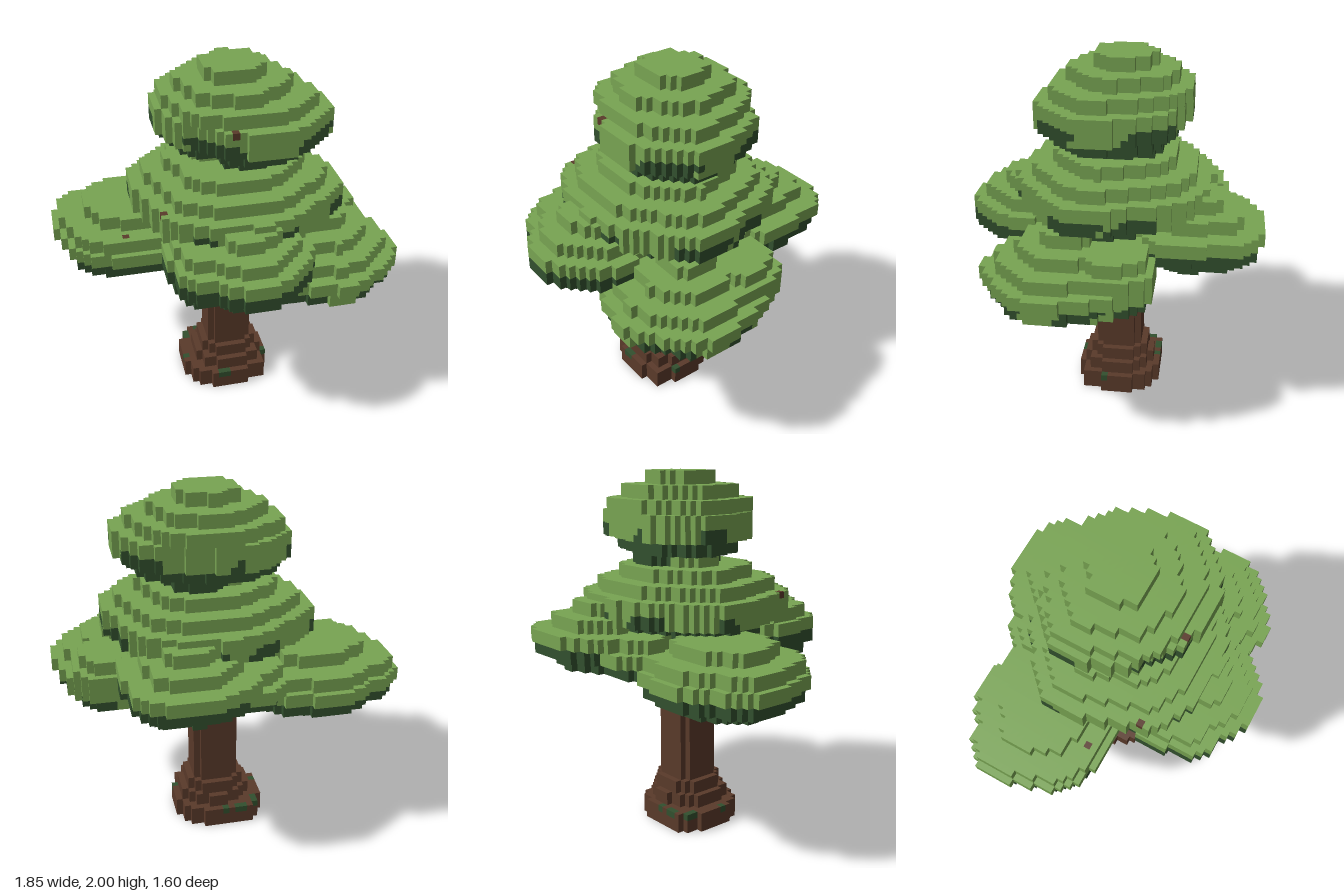
import * as THREE from 'three';

const V = 2 / 55;                 // voxel edge
const NX = 51, NY = 55, NZ = 44;  // voxel counts

const mat = (name, color) => {
  const m = new THREE.MeshStandardMaterial({ color });
  m.name = name;
  return m;
};

// Leaf pads: centre, radii, top row, squareness n (2 is an ellipse), radius share of each two-row
// layer (top down), dark layers at the bottom (a half means one more, patchy layer)
const ROUND = [0.8, 1, 1, 0.8];
const CROWN_PADS = [
  { name: 'crown', x: 0.07, z: -0.04, rx: 0.38, rz: 0.37, top: 55, prof: [0.44, 0.77, 1], dark: 0 },
  { name: 'crownFrontPad', x: 0.18, z: 0.025, rx: 0.385, rz: 0.38, top: 51, prof: ROUND, dark: 1.5 },
  { name: 'crownBackPad', x: -0.02, z: -0.07, rx: 0.33, rz: 0.335, top: 51, prof: ROUND, dark: 1.5 },
  { name: 'crownBase', x: 0.13, z: -0.015, rx: 0.185, rz: 0.24, top: 43, prof: [1], dark: 1 },
];
const CANOPY_PADS = [
  { name: 'canopyKnob', x: -0.06, z: -0.04, rx: 0.105, rz: 0.13, top: 43, prof: [1], dark: 0 },
  { name: 'middleCanopy', x: 0.07, z: 0, rx: 0.56, rz: 0.53, top: 41, prof: [0.64, 0.85, 1, 1, 0.82, 0.7, 0.58], dark: 3.5 },
  { name: 'rightPad', x: -0.48, z: -0.21, rx: 0.445, rz: 0.4, top: 32, prof: [0.6, 0.92, 1, 0.92, 0.55], dark: 2 },
  { name: 'rightPadBack', x: -0.71, z: -0.32, rx: 0.2, rz: 0.2, top: 30, n: 2.4, prof: [0.85, 1, 0.85], dark: 1 },
  { name: 'leftPad', x: 0.52, z: 0.2, rx: 0.4, rz: 0.44, top: 33, prof: [0.32, 0.58, 0.83, 1, 0.93, 0.62], dark: 1.5 },
  { name: 'leftPadBack', x: 0.6, z: -0.04, rx: 0.23, rz: 0.23, top: 31, prof: ROUND, dark: 1 },
  { name: 'frontPad', x: 0.04, z: 0.42, rx: 0.33, rz: 0.385, top: 36, n: 1.8, prof: [0.53, 0.82, 1, 1, 0.75], dark: 2 },
  { name: 'frontCornerPad', x: -0.2, z: 0.41, rx: 0.18, rz: 0.28, top: 34, prof: ROUND, dark: 2 },
  { name: 'backPad', x: 0.25, z: -0.45, rx: 0.345, rz: 0.345, top: 36, n: 2.6, prof: [0.4, 0.7, 1, 0.95, 0.65], dark: 2 },
  { name: 'backCornerPad', x: -0.08, z: -0.42, rx: 0.2, rz: 0.23, top: 32, prof: [0.75, 1, 0.75], dark: 1 },
];

// Wood: rounded column slices [y0, y1, xMin, xMax, zMin, zMax, squareness]
const WOOD = [
  ['roots', 0, 3, -0.24, 0.27, -0.26, 0.22, 2.2],
  ['roots', 0, 3, 0, 0.25, 0, 0.2, 4],
  ['roots', 0, 3, -0.21, 0, -0.24, 0, 4],
  ['roots', 3, 5, -0.17, 0.24, -0.21, 0.19, 2],
  ['roots', 5, 7, -0.13, 0.205, -0.185, 0.15, 2.2],
  ['moss', 0, 1, -0.11, 0.02, -0.11, 0.0, 2],
  ['trunk', 7, 29, -0.095, 0.167, -0.148, 0.112, 2.6],
  ['branch', 22, 24, -0.275, -0.05, -0.13, -0.02, 9],
  ['branch', 24, 26, -0.14, -0.05, -0.13, 0.04, 9],
  ['branch', 27, 28, 0.05, 0.38, -0.3, -0.2, 9],
];

// Bare twig ends poking out of the leaves
const TWIGS = [
  [-0.01, 1.77, 0.35], [0.18, 1.58, 0.24], [0.18, 1.545, 0.22], [-0.36, 1.33, 0.31],
  [-0.47, 1.08, 0.09], [-0.29, 1.0, 0.3], [0.43, 0.82, 0.53],
];

// Moss patches on the roots: x and z
const MOSS = [[-0.07, 0.25], [-0.03, 0.25], [0, 0.25], [-0.25, 0.03], [-0.25, 0],
  [0.29, 0.06], [-0.02, -0.26], [-0.06, -0.26], [-0.1, -0.26], [-0.22, -0.2], [-0.22, -0.16]];

const px = (i) => (i + 0.5 - NX / 2) * V;
const pz = (k) => (k + 0.5 - NZ / 2) * V;
const ix = (x) => Math.floor(x / V + NX / 2);
const iz = (z) => Math.floor(z / V + NZ / 2);
const key = (i, j, k) => (j * 64 + k) * 64 + i;

// A cell of a pad is light if any pad holding it is light there
function fillPad(cells, { name, x, z, rx, rz, top, n = 2, prof, dark }) {
  prof.forEach((s, layer) => {
    const up = prof.length - 1 - layer;
    for (let i = 0; i < NX; i++) for (let k = 0; k < NZ; k++) {
      const dx = (px(i) - x) / rx, dz = (pz(k) - z) / rz;
      const a = Math.atan2(dz, dx);
      const r = s * (1 + 0.03 * Math.sin(4 * a) + 0.03 * Math.sin(6 * a));
      if (Math.abs(dx) ** n + Math.abs(dz) ** n > r ** n) continue;
      for (let j = top - 2 * layer - 2; j < Math.min(NY, top - 2 * layer); j++) {
        const noise = Math.sin(i * 0.55 + top) + Math.sin(k * 0.6 + j * 0.5);
        const shade = up + (noise > 0 ? 0 : 0.5) < dark;
        const id = key(i, j, k), old = cells.get(id);
        if (!old || old.tint === 'shade') {
          cells.set(id, { i, j, k, part: name, tint: shade ? 'shade' : 'leaf' });
        }
      }
    }
  });
}

function fillVoxels() {
  const cells = new Map();
  CROWN_PADS.forEach((p) => fillPad(cells, p));
  CANOPY_PADS.forEach((p) => fillPad(cells, p));

  // Leaves open to the sky are light
  for (const c of cells.values()) if (!cells.has(key(c.i, c.j + 1, c.k))) c.tint = 'leaf';

  // Wood replaces leaves
  for (const [part, y0, y1, x0, x1, z0, z1, n] of WOOD) {
    const tint = part === 'moss' ? 'shade' : 'bark';
    for (let i = 0; i < NX; i++) for (let k = 0; k < NZ; k++) {
      const dx = Math.abs((2 * px(i) - x0 - x1) / (x1 - x0));
      const dz = Math.abs((2 * pz(k) - z0 - z1) / (z1 - z0));
      if (dx ** n + dz ** n > 1) continue;
      for (let j = y0; j < y1; j++) cells.set(key(i, j, k), { i, j, k, part, tint });
    }
  }

  // Spots: walk inward from just outside until the surface is met
  const spot = (x, y, z, part, tint) => {
    const j = Math.floor(y / V);
    for (let t = 1.12; t > 0; t -= 0.02) {
      const c = cells.get(key(ix(0.05 + (x - 0.05) * t), j, iz(z * t)));
      if (c) {
        c.part = part;
        c.tint = tint;
        return;
      }
    }
  };
  TWIGS.forEach(([x, y, z]) => spot(x, y, z, 'twigs', 'bark'));
  MOSS.forEach(([x, z]) => spot(x, 0.09, z, 'moss', 'shade'));
  return cells;
}

// Cube sides: outward direction and two edge directions with u x v = outward
const SIDES = [
  [[1, 0, 0], [0, 1, 0], [0, 0, 1]], [[-1, 0, 0], [0, 0, 1], [0, 1, 0]],
  [[0, 1, 0], [0, 0, 1], [1, 0, 0]], [[0, -1, 0], [1, 0, 0], [0, 0, 1]],
  [[0, 0, 1], [1, 0, 0], [0, 1, 0]], [[0, 0, -1], [0, 1, 0], [1, 0, 0]],
];

// Outer faces of a set of cells, skipping faces shared with any neighbour
function skin(list, cells) {
  const pos = [], nor = [], idx = [];
  for (const { i, j, k } of list) {
    for (const [d, u, v] of SIDES) {
      if (cells.has(key(i + d[0], j + d[1], k + d[2]))) continue;
      const b = pos.length / 3;
      const c = [px(i), (j + 0.5) * V, pz(k)];
      for (const [s, t] of [[-1, -1], [1, -1], [1, 1], [-1, 1]]) {
        for (let m = 0; m < 3; m++) {
          pos.push(c[m] + (d[m] + s * u[m] + t * v[m]) * V / 2);
          nor.push(d[m]);
        }
      }
      idx.push(b, b + 1, b + 2, b, b + 2, b + 3);
    }
  }
  const g = new THREE.BufferGeometry();
  g.setAttribute('position', new THREE.Float32BufferAttribute(pos, 3));
  g.setAttribute('normal', new THREE.Float32BufferAttribute(nor, 3));
  g.setIndex(idx);
  return g;
}

export function createModel() {
  const mats = {
    leaf: mat('leaf green', 0x78a452),
    shade: mat('deep green', 0x32502e),
    bark: mat('bark brown', 0x5a3a2a),
  };
  const cells = fillVoxels();

  // One mesh per part and colour
  const parts = new Map();
  for (const c of cells.values()) {
    const name = c.tint === 'shade' && c.part !== 'moss' ? c.part + 'Underside' : c.part;
    if (!parts.has(name)) parts.set(name, []);
    parts.get(name).push(c);
  }
  const tree = new THREE.Group();
  tree.name = 'tree';
  for (const [name, list] of parts) {
    const geometry = skin(list, cells);
    if (!geometry.index.count) continue;
    const mesh = new THREE.Mesh(geometry, mats[list[0].tint]);
    mesh.name = name;
    tree.add(mesh);
  }
  return tree;
}
